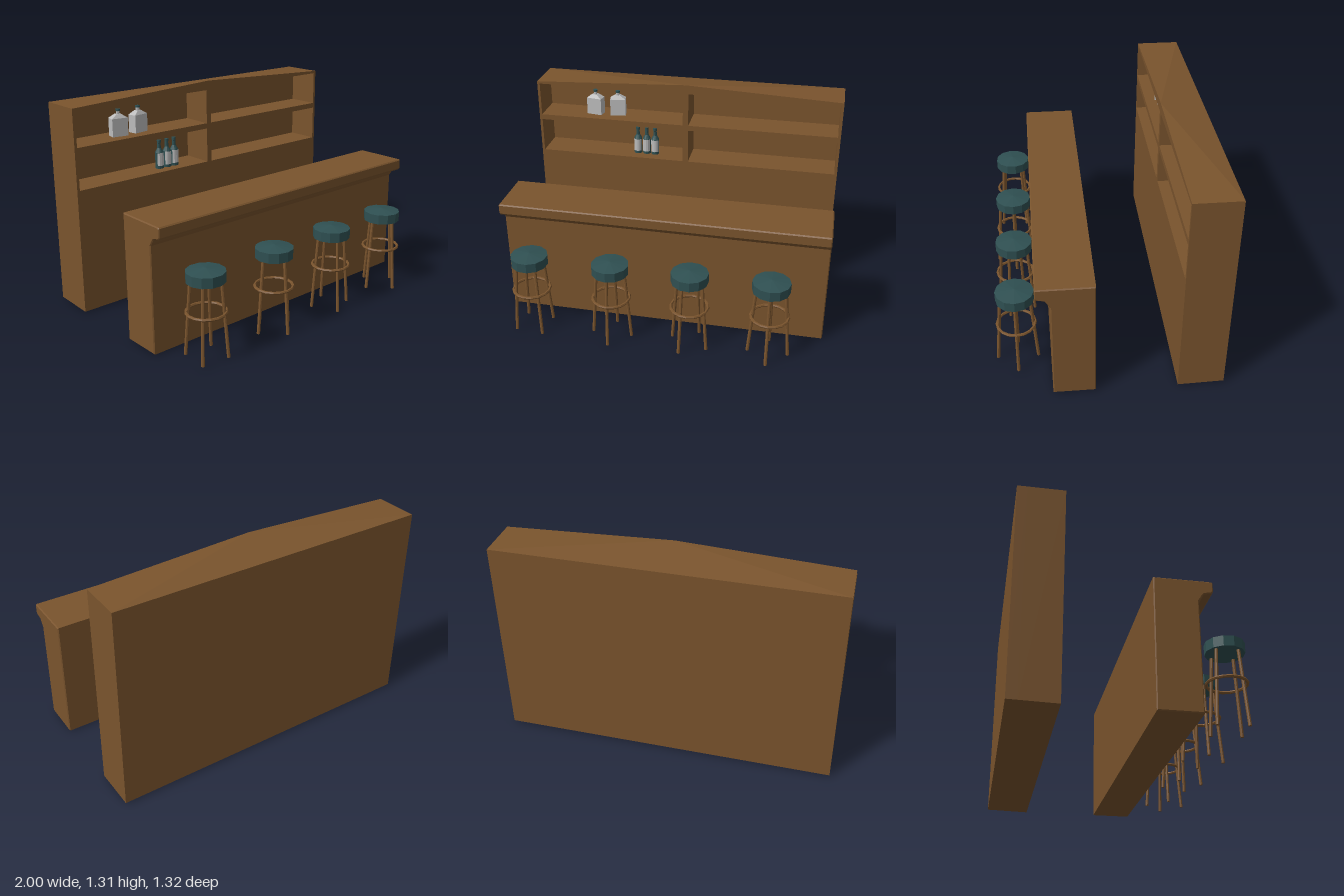
import * as THREE from 'three';

const wood = new THREE.MeshStandardMaterial({ color: 0x7a542d });
wood.name = 'brown wood';
const teal = new THREE.MeshStandardMaterial({ color: 0x2f5052 });
teal.name = 'dark teal';
const pale = new THREE.MeshStandardMaterial({ color: 0xbcbcbc });
pale.name = 'pale grey';

// Faceted mesh: every triangle gets its own normal
function facet(name, geometry, material) {
  const geo = geometry.index ? geometry.toNonIndexed() : geometry;
  geo.computeVertexNormals();
  const mesh = new THREE.Mesh(geo, material);
  mesh.name = name;
  return mesh;
}

const vectors = (pts) => pts.map(([x, y]) => new THREE.Vector2(x, y));
const lathe = (pts, sides) => new THREE.LatheGeometry(vectors(pts), sides);

function group(name, ...parts) {
  const g = new THREE.Group();
  g.name = name;
  if (parts.length) g.add(...parts);
  return g;
}

const rect = (path, x0, x1, y0, y1) =>
  path.moveTo(x0, y0).lineTo(x1, y0).lineTo(x1, y1).lineTo(x0, y1).closePath();

// Back cabinet: four open compartments and a shallow pointed top
function makeCabinet() {
  const front = -0.39, inner = -0.6, back = -0.66, top = 1.27;
  const shape = new THREE.Shape();
  rect(shape, -1, 1, 0, top);
  for (const [x0, x1] of [[-0.983, -0.018], [0.018, 0.983]]) {
    for (const [y0, y1] of [[0.778, 1.002], [1.037, 1.255]]) {
      const hole = new THREE.Path();
      rect(hole, x0, x1, y0, y1);
      shape.holes.push(hole);
    }
  }
  const frame = new THREE.ExtrudeGeometry(shape, { depth: front - inner, bevelEnabled: false });
  frame.translate(0, 0, inner);
  const panel = new THREE.BoxGeometry(2, top, inner - back);
  panel.translate(0, top / 2, (inner + back) / 2);

  // Underside rises slightly towards the back
  for (const geo of [frame, panel]) {
    const p = geo.attributes.position;
    for (let i = 0; i < p.count; i++) {
      if (p.getY(i) < 0.1) p.setY(i, 0.003 + 0.026 * (front - p.getZ(i)));
    }
  }

  // Top with its only peak at the middle of the front edge
  const roof = new THREE.BufferGeometry();
  roof.setAttribute('position', new THREE.Float32BufferAttribute([
    -1, top, front, 1, top, front, 0, 1.315, front, -1, top, back, 1, top, back,
  ], 3));
  roof.setIndex([0, 1, 2, 2, 4, 3, 0, 2, 3, 2, 1, 4]);

  return group('backCabinet',
    facet('shelfFrame', frame, wood),
    facet('backPanel', panel, wood),
    facet('peakedTop', roof, wood));
}

// Bar counter: overhanging profile run along x with chamfered ends
function makeCounter() {
  const bevel = 0.006;
  const shape = new THREE.Shape(vectors([
    [0.085, 0.003], [0.331, 0.003], [0.331, 0.645], [0.342, 0.662], [0.352, 0.679],
    [0.361, 0.69], [0.404, 0.699], [0.413, 0.71], [0.413, 0.763], [0.406, 0.77], [0.085, 0.77],
  ]));
  const depth = 2 - 2 * bevel;
  const geo = new THREE.ExtrudeGeometry(shape, {
    depth, bevelSize: bevel, bevelThickness: bevel, bevelOffset: -bevel, bevelSegments: 1,
  });
  geo.translate(0, 0, -depth / 2);
  geo.rotateY(-Math.PI / 2);
  return facet('barCounter', geo, wood);
}

// Bar stool: padded seat, four splayed legs and a ring footrest
function makeStool(x, turn) {
  const stool = group('stool');
  stool.add(facet('seat', lathe([[0, 0.45], [0.112, 0.45], [0.113, 0.51], [0, 0.526]], 12), teal));

  const topR = 0.086, footR = 0.121, height = 0.452;
  const tilt = Math.atan2(footR - topR, height);
  for (let i = 0; i < 4; i++) {
    const leg = facet('leg', new THREE.CylinderGeometry(0.01, 0.01, Math.hypot(height, footR - topR), 8), wood);
    leg.position.set((topR + footR) / 2, height / 2 + 0.001, 0);
    leg.rotation.z = tilt;
    const pivot = group('legMount', leg);
    pivot.rotation.y = i * Math.PI / 2;
    stool.add(pivot);
  }

  const ring = new THREE.TorusGeometry(0.112, 0.009, 6, 16);
  ring.rotateX(Math.PI / 2);
  const footrest = facet('footrest', ring, wood);
  footrest.position.y = 0.27;
  stool.add(footrest);

  stool.position.set(x, 0, 0.527);
  stool.rotation.y = turn;
  return stool;
}

// Square bottle: box body, sloping shoulders, neck and cap
function makeSquareBottle(x, z, turn) {
  const w = 0.102, d = 0.06, h = 0.112;
  const body = new THREE.BoxGeometry(w, h, d);
  body.translate(0, h / 2, 0);
  const shoulder = new THREE.BoxGeometry(w, 0.024, d);
  shoulder.translate(0, h + 0.012, 0);
  const p = shoulder.attributes.position;
  for (let i = 0; i < p.count; i++) {
    if (p.getY(i) > h + 0.012) p.setXYZ(i, p.getX(i) * 0.3, p.getY(i), p.getZ(i) * 0.5);
  }
  const neck = new THREE.CylinderGeometry(0.012, 0.012, 0.022, 8);
  neck.translate(0, 0.145, 0);
  const cap = new THREE.CylinderGeometry(0.015, 0.015, 0.012, 8);
  cap.translate(0, 0.16, 0);
  const bottle = group('squareBottle',
    facet('body', body, pale), facet('shoulder', shoulder, pale),
    facet('neck', neck, pale), facet('cap', cap, teal));
  bottle.position.set(x, 1.037, z);
  bottle.rotation.y = turn;
  return bottle;
}

// Round bottle with a curved paper label on its front
function makeRoundBottle(x) {
  const glass = lathe([[0, 0], [0.027, 0], [0.027, 0.105], [0.012, 0.133],
    [0.011, 0.165], [0.013, 0.167], [0.013, 0.185], [0, 0.185]], 12);
  const label = new THREE.CylinderGeometry(0.0285, 0.0285, 0.085, 4, 1, true, -Math.PI / 3, Math.PI * 2 / 3);
  label.translate(0, 0.061, 0);
  const bottle = group('roundBottle', facet('glass', glass, teal), facet('label', label, pale));
  bottle.position.set(x, 0.778, -0.48);
  return bottle;
}

export function createModel() {
  const model = group('bar', makeCabinet(), makeCounter());
  for (const [x, turn] of [[-0.785, 0.7], [-0.28, 0], [0.203, -0.38], [0.682, 0]]) {
    model.add(makeStool(x, turn));
  }
  model.add(makeSquareBottle(-0.632, -0.49, -0.17), makeSquareBottle(-0.48, -0.5, 0.17));
  for (const x of [-0.342, -0.282, -0.224]) model.add(makeRoundBottle(x));
  return model;
}
